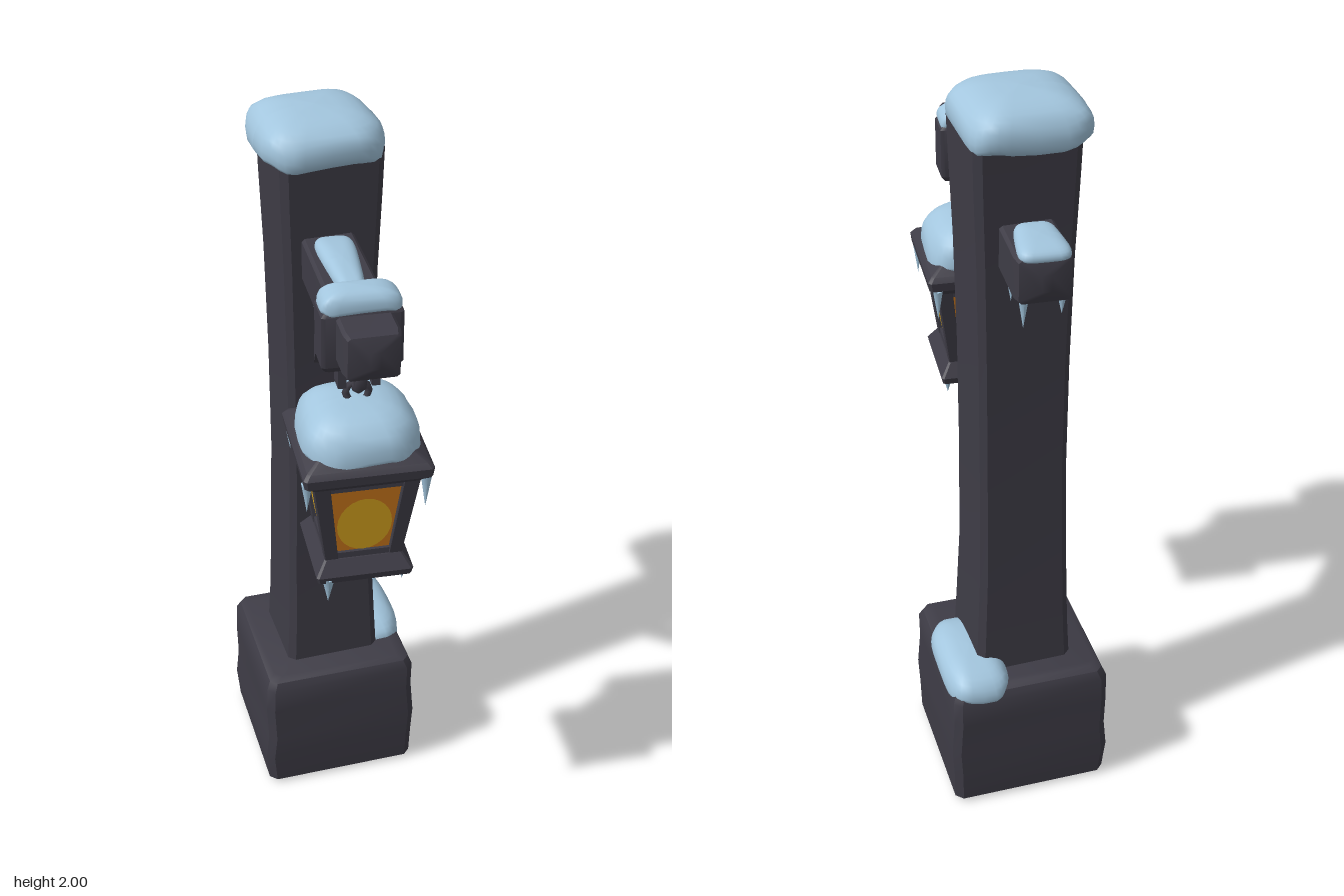
import * as THREE from 'three';
import { toCreasedNormals } from 'three/addons/utils/BufferGeometryUtils.js';

const mat = (name, color) => Object.assign(new THREE.MeshStandardMaterial({ color }), { name });

// Chamfered-square loft; sections are [y, halfX, halfZ, centreX, centreZ]
function loft(sections, chamfer = 0.12, crease = 0.6) {
  const c = 1 - chamfer;
  const ring = [[1, -c], [1, c], [c, 1], [-c, 1], [-1, c], [-1, -c], [-c, -1], [c, -1]];
  const n = ring.length, pos = [], idx = [];
  for (const [y, hx, hz, cx = 0, cz = 0] of sections)
    for (const [x, z] of ring) pos.push(cx + x * hx, y, cz + z * hz);
  const last = sections.length - 1;
  for (let i = 0; i < last; i++)
    for (let j = 0; j < n; j++) {
      const a = i * n + j, b = i * n + (j + 1) % n;
      idx.push(a, a + n, b, b, a + n, b + n);
    }
  for (let j = 1; j < n - 1; j++) {
    idx.push(0, j, j + 1);
    idx.push(last * n, last * n + j + 1, last * n + j);
  }
  const g = new THREE.BufferGeometry();
  g.setAttribute('position', new THREE.Float32BufferAttribute(pos, 3));
  g.setIndex(idx);
  return toCreasedNormals(g, crease);
}

// Soft snow pad: a squared-off dome with a wavy, drooping rim
function snowPad(hx, hz, up, down, { square = 0.5, wave = 0, taper = 0 } = {}) {
  const g = new THREE.SphereGeometry(1, 32, 16);
  const p = g.attributes.position;
  const pw = (v, e) => Math.sign(v) * Math.pow(Math.abs(v), e);
  for (let i = 0; i < p.count; i++) {
    const x = p.getX(i), y = p.getY(i), z = p.getZ(i);
    const r = Math.hypot(x, z), a = Math.atan2(z, x);
    const s = Math.pow(r, 0.65);
    const pz = pw(Math.sin(a), square) * s;
    const px = pw(Math.cos(a), square) * s * (1 + taper * pz);
    const rim = wave * r * r * Math.sin(a * 5 + 0.8) * (y < 0.5 ? 1 : 0.3);
    p.setXYZ(i, px * hx, (y > 0 ? Math.pow(y, 0.9) * up : pw(y, 0.6) * down) + rim, pz * hz);
  }
  g.computeVertexNormals();
  return g;
}

export function createModel() {
  const model = new THREE.Group();
  model.name = 'snowyLampPost';
  const dark = mat('charcoal', 0x3e3c46);
  const snow = mat('snow', 0xa3c6de);
  const orange = mat('amberGlass', 0xd07a1c);
  const yellow = mat('glow', 0xdca820);

  const add = (parent, name, geo, material, x = 0, y = 0, z = 0) => {
    const m = new THREE.Mesh(geo, material);
    m.name = name;
    m.position.set(x, y, z);
    parent.add(m);
    return m;
  };
  const icicle = (parent, x, y, z, len, r = 0.014) => {
    const g = new THREE.ConeGeometry(r, len, 6);
    g.rotateX(Math.PI);
    add(parent, 'icicle', g, snow, x, y - len / 2, z);
  };

  // Stone base block
  add(model, 'base', loft([
    [0.0, 0.195, 0.19], [0.012, 0.213, 0.208], [0.1, 0.218, 0.213, -0.003, 0],
    [0.18, 0.216, 0.214, 0.003, 0.002], [0.28, 0.214, 0.21, -0.002, 0],
    [0.355, 0.213, 0.211], [0.378, 0.203, 0.2], [0.387, 0.185, 0.182],
  ], 0.09), dark, 0, 0, -0.155).rotation.y = 0.08;

  // Wooden post, flared at both ends
  add(model, 'post', loft([
    [0.36, 0.132, 0.124], [0.5, 0.125, 0.119], [0.7, 0.118, 0.112, -0.002, 0],
    [1.0, 0.114, 0.108], [1.3, 0.115, 0.109], [1.6, 0.12, 0.114],
    [1.8, 0.127, 0.12], [1.92, 0.13, 0.124],
  ], 0.14), dark, -0.002, 0, -0.155).rotation.y = 0.1;

  // Snow on the post and on the back corner of the base
  add(model, 'postSnow', snowPad(0.152, 0.152, 0.075, 0.05, { wave: 0.008 }),
    snow, -0.013, 1.923, -0.16).rotation.y = 0.11;
  add(model, 'baseSnow', snowPad(0.088, 0.16, 0.065, 0.025, { wave: 0.006, square: 0.6 }),
    snow, 0.128, 0.37, -0.222).rotation.y = 0.08;

  // Cross beam with blunt pointed ends
  const beamGeo = loft([
    [-0.465, 0.012, 0.02], [-0.448, 0.06, 0.054], [-0.42, 0.066, 0.056],
    [0.42, 0.066, 0.056], [0.448, 0.06, 0.054], [0.465, 0.012, 0.02],
  ], 0.12);
  beamGeo.rotateX(Math.PI / 2);
  add(model, 'beam', beamGeo, dark, -0.003, 1.655, 0).rotation.y = 0.02;
  add(model, 'beamFrontSnow', snowPad(0.042, 0.145, 0.027, 0.012, { taper: -0.3 }),
    snow, 0, 1.711, 0.125);
  add(model, 'beamRearSnow', snowPad(0.056, 0.083, 0.026, 0.014, { taper: -0.18, square: 0.45 }),
    snow, -0.014, 1.712, -0.377);

  // Strap around the beam
  add(model, 'strap', loft([
    [1.568, 0.085, 0.038], [1.582, 0.095, 0.045], [1.71, 0.095, 0.045], [1.722, 0.085, 0.038],
  ], 0.1), dark, 0, 0, 0.31);
  add(model, 'strapSnow', snowPad(0.094, 0.046, 0.043, 0.015, { square: 0.35, wave: 0.004 }),
    snow, 0, 1.722, 0.31);

  // Curved brace under the beam
  const s = new THREE.Shape();
  s.moveTo(0.2, 1.61);
  s.quadraticCurveTo(0.04, 1.53, -0.05, 1.34);
  s.lineTo(-0.05, 1.42);
  s.quadraticCurveTo(0.02, 1.53, 0.12, 1.61);
  const braceGeo = new THREE.ExtrudeGeometry(s, { depth: 0.08, bevelEnabled: false, curveSegments: 8 });
  braceGeo.translate(0, 0, -0.04);
  braceGeo.rotateY(-Math.PI / 2);
  add(model, 'brace', braceGeo, dark);

  // Icicles under the beam
  icicle(model, 0.045, 1.605, 0.22, 0.075);
  icicle(model, -0.045, 1.605, 0.0, 0.075);
  icicle(model, 0.035, 1.605, -0.305, 0.075);
  icicle(model, -0.06, 1.605, -0.33, 0.06);
  icicle(model, 0.03, 1.605, -0.415, 0.085);
  icicle(model, -0.06, 1.605, -0.41, 0.06);

  // Hanging ring between two lugs
  const lantern = new THREE.Group();
  lantern.name = 'lantern';
  lantern.position.z = 0.298;
  model.add(lantern);
  add(lantern, 'ring', new THREE.TorusGeometry(0.036, 0.016, 6, 10), dark, 0, 1.53, 0).rotation.y = Math.PI / 2;
  for (const x of [-0.04, 0.04])
    add(lantern, 'lug', new THREE.BoxGeometry(0.02, 0.075, 0.045), dark, x, 1.54, 0);
  add(lantern, 'link', new THREE.TorusGeometry(0.028, 0.009, 6, 10), dark, 0, 1.478, 0);

  // Lantern roof, base and tapered glass
  add(lantern, 'roof', loft([
    [1.29, 0.122, 0.122], [1.318, 0.152, 0.152], [1.342, 0.155, 0.155], [1.355, 0.145, 0.145], [1.4, 0.07, 0.07],
  ], 0.05, 0.4), dark);
  add(lantern, 'lanternBase', loft([
    [1.01, 0.116, 0.116], [1.028, 0.12, 0.12], [1.065, 0.096, 0.096],
  ], 0.05, 0.4), dark);
  add(lantern, 'glass', loft([[1.06, 0.082, 0.082], [1.3, 0.115, 0.115]], 0.02), orange);
  add(lantern, 'bottomGlass', new THREE.BoxGeometry(0.12, 0.004, 0.12), orange, 0, 1.009, 0);

  // Corner bars, rails and glowing panes on all four sides
  for (const sx of [-1, 1]) for (const sz of [-1, 1])
    add(lantern, 'cornerBar', loft([
      [1.05, 0.016, 0.016, sx * 0.077, sz * 0.077], [1.3, 0.02, 0.02, sx * 0.108, sz * 0.108],
    ], 0.1), dark);
  for (let i = 0; i < 4; i++) {
    const side = new THREE.Group();
    side.name = 'lanternSide';
    side.rotation.y = i * Math.PI / 2;
    lantern.add(side);
    add(side, 'topRail', new THREE.BoxGeometry(0.2, 0.022, 0.02), dark, 0, 1.293, 0.114);
    add(side, 'bottomRail', new THREE.BoxGeometry(0.15, 0.022, 0.02), dark, 0, 1.07, 0.083);
    const glow = new THREE.CircleGeometry(1, 24);
    glow.scale(0.067, 0.083, 1);
    add(side, 'glow', glow, yellow, 0, 1.165, 0.1).rotation.x = 0.137;
  }

  // Lantern snow and icicles
  add(lantern, 'lanternSnow', snowPad(0.142, 0.142, 0.106, 0.022, { square: 0.6, wave: 0.012 }), snow, 0, 1.36, 0);
  icicle(lantern, 0.138, 1.315, 0.135, 0.09);
  icicle(lantern, -0.143, 1.315, 0.12, 0.08);
  icicle(lantern, 0.13, 1.315, -0.142, 0.085);
  icicle(lantern, -0.138, 1.315, -0.135, 0.07);
  icicle(lantern, -0.09, 1.018, 0.105, 0.072, 0.017);
  icicle(lantern, 0.1, 1.015, 0.08, 0.045);
  icicle(lantern, 0.1, 1.015, -0.09, 0.045);
  icicle(lantern, -0.095, 1.015, -0.1, 0.05);

  return model;
}
